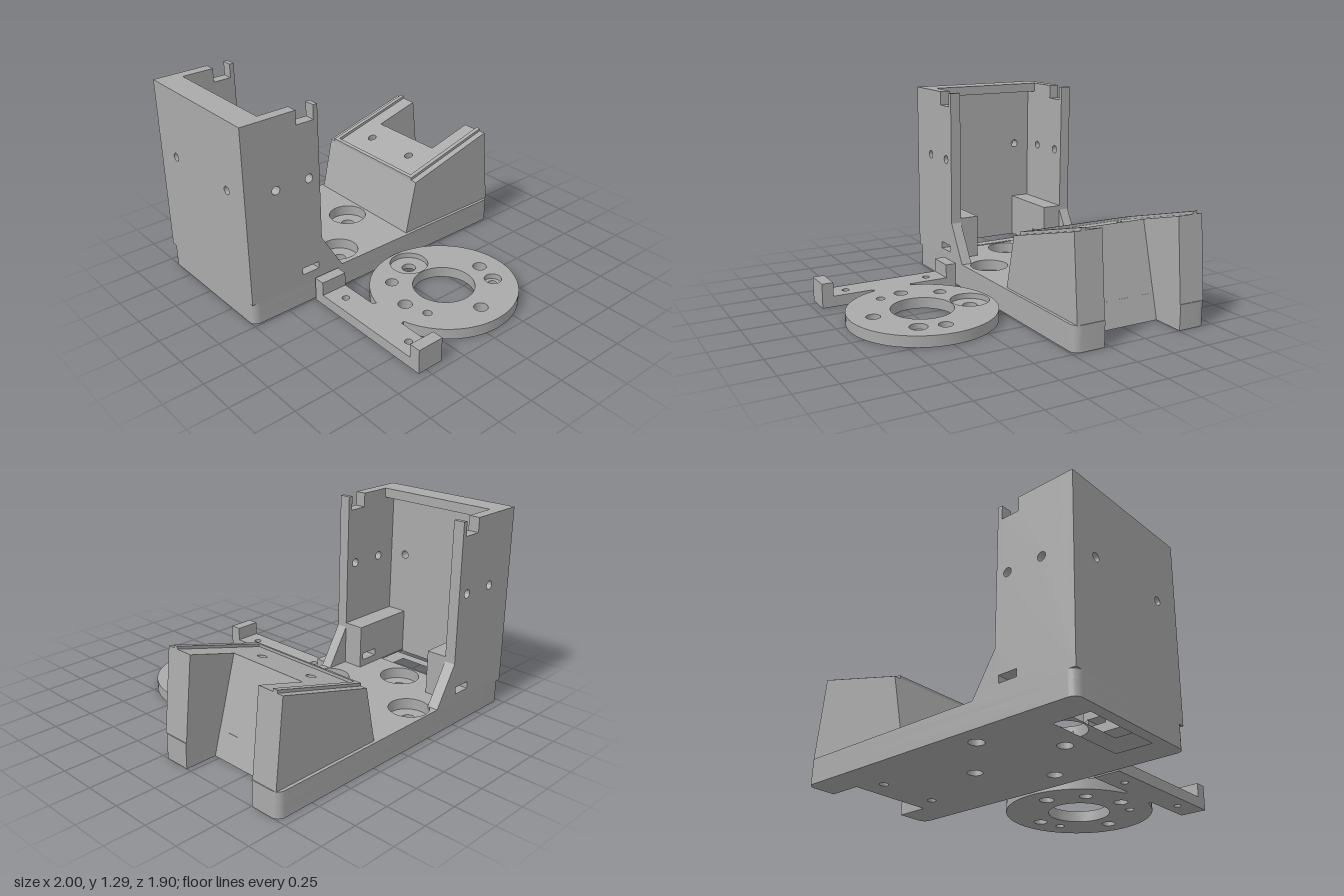
import * as THREE from 'three';
import { toCreasedNormals } from 'three/addons/utils/BufferGeometryUtils.js';

const BACK = -0.95, FRONT = -0.01, MID = -0.48; // depth range of the bracket

// Closed polygon or circle as a path
function outline(points, Type = THREE.Shape) {
  return new Type(points.map(([x, y]) => new THREE.Vector2(x, y)));
}
function circle(x, y, r) {
  const path = new THREE.Path();
  path.absarc(x, y, r, 0, Math.PI * 2, false);
  return path;
}
function rect(x0, x1, y0, y1) {
  return [[x0, y0], [x1, y0], [x1, y1], [x0, y1]];
}
// Points of a quarter-circle corner
function corner(cx, cy, r, start) {
  return [0, 1, 2, 3, 4, 5, 6].map((i) => {
    const a = start + (i / 6) * Math.PI / 2;
    return [cx + r * Math.cos(a), cy + r * Math.sin(a)];
  });
}
function extrude(shape, holes, depth) {
  shape.holes.push(...holes);
  return new THREE.ExtrudeGeometry(shape, { depth, bevelEnabled: false, curveSegments: 32 });
}
// Plate drawn in plan as [x, z], holes as [x, z, radius], from y0 up to y1
function plate(points, holes, y0, y1, cutouts = []) {
  const flip = (list) => list.map(([x, z]) => [x, -z]);
  const paths = holes.map(([x, z, r]) => circle(x, -z, r));
  cutouts.forEach((c) => paths.push(outline(flip(c), THREE.Path)));
  return extrude(outline(flip(points)), paths, y1 - y0).rotateX(-Math.PI / 2).translate(0, y0, 0);
}
// Move every vertex by a rule (x, y, z) => [x, y]
function reshape(geometry, rule) {
  const p = geometry.attributes.position;
  for (let i = 0; i < p.count; i++) {
    const [x, y] = rule(p.getX(i), p.getY(i), p.getZ(i));
    p.setXY(i, x, y);
  }
  return geometry;
}

export function createModel() {
  const grey = new THREE.MeshStandardMaterial({ color: 0xaaaaaa });
  grey.name = 'grey plastic';
  const model = new THREE.Group();
  model.name = 'bracket and disc set';

  function add(name, geometry, parent) {
    const mesh = new THREE.Mesh(toCreasedNormals(geometry, 0.5), grey);
    mesh.name = name;
    parent.add(mesh);
    return mesh;
  }
  function group(name) {
    const g = new THREE.Group();
    g.name = name;
    model.add(g);
    return g;
  }

  // ---- Base: two layers, so that the screw holes have wide counterbores
  const base = group('base');
  const R = 0.05, PI = Math.PI, N0 = -0.755, N1 = -0.215;
  const basePlan = [
    ...corner(-1 + R, BACK + R, R, PI),
    ...corner(1 - R, BACK + R, R, PI * 1.5),
    [1, N0], [0.79, N0], [0.79, N1], [1, N1],
    ...corner(1 - R, FRONT - R, R, 0),
    ...corner(-1 + R, FRONT - R, R, PI / 2),
  ];
  const screws = [[-0.235, -0.81], [-0.56, -0.48], [0.09, -0.48], [-0.235, -0.165]];
  const tiltedHoles = [[0.634, -0.68, 0.028], [0.634, -0.295, 0.028]];
  const slot = rect(-0.93, -0.70, -0.75, -0.22);
  const leanNotch = (x, y) => [x > 0.55 && x < 0.8 ? x - 0.268 * y : x, y];
  [['baseLower', 0.045, 0, 0.09], ['baseUpper', 0.124, 0.09, 0.16]].forEach(([name, r, y0, y1]) => {
    const holes = [...screws.map(([x, z]) => [x, z, r]), ...tiltedHoles];
    add(name, reshape(plate(basePlan, holes, y0, y1, [slot]), leanNotch), base);
  });

  // ---- Tower: two side walls, back wall, top lip and inner blocks
  const tower = group('tower');
  const wallProfile = [
    [-1, 0.145], [-0.33, 0.145], [-0.33, 0.16], [-0.48, 0.41], [-0.48, 1.29], [-0.51, 1.29],
    [-0.51, 1.2], [-0.63, 1.2], [-0.63, 1.29], [-1, 1.29],
  ];
  const cableSlot = () => outline(rect(-0.63, -0.51, 0.205, 0.25), THREE.Path);
  [[BACK, -0.88, 'rear'], [FRONT - 0.07, -0.21, 'front']].forEach(([z, blockZ, side]) => {
    const holes = [circle(-0.79, 0.84, 0.027), circle(-0.557, 0.84, 0.027), cableSlot()];
    add(side + 'TowerWall', extrude(outline(wallProfile), holes, 0.07).translate(0, 0, z), tower);
    const block = extrude(outline(rect(-0.93, -0.48, 0.15, 0.44)), [cableSlot()], 0.13);
    add(side + 'TowerBlock', block.translate(0, 0, blockZ), tower);
  });
  const backWall = extrude(outline(rect(BACK, FRONT, 0.145, 1.29)),
    [circle(-0.195, 0.84, 0.026), circle(-0.765, 0.84, 0.026)], 0.07);
  add('towerBackWall', backWall.rotateY(-PI / 2).translate(-0.93, 0, 0), tower);
  add('towerLip', new THREE.BoxGeometry(0.09, 0.06, 0.8).translate(-0.885, 1.26, MID), tower);

  // ---- Sloped seat: U-shaped plan whose top follows a ramp and whose sides lean
  const seat = group('slopedSeat');
  const ramp = (x) => 0.51 + 0.268 * (x - 0.31);
  const seatPlan = [
    [0.31, -0.93], [0.945, -0.93], [0.945, N0], [0.63, N0],
    [0.63, N1], [0.945, N1], [0.945, -0.03], [0.31, -0.03],
  ];
  const seatRule = (x, y) => {
    if (y > 0.5) return [x, ramp(x)];
    if (x < 0.32) return [0.23, 0.158];
    if (x > 0.9) return [0.995, 0.158];
    return [x > 0.6 ? 0.747 : x + 0.106, 0.158];
  };
  const seatHoles = [[0.485, -0.68, 0.028], [0.485, -0.295, 0.028]];
  add('seatBody', reshape(plate(seatPlan, seatHoles, 0, 1), seatRule), seat);

  // Thin raised rim on three sides of the ramp
  const rimPlan = [
    [0.31, -0.89], [0.945, -0.89], [0.945, -0.86], [0.332, -0.86],
    [0.332, -0.105], [0.945, -0.105], [0.945, -0.075], [0.31, -0.075],
  ];
  add('seatRim', reshape(plate(rimPlan, [], 0, 0.018), (x, y) => [x, ramp(x) + y]), seat);

  // ---- Separate disc with a neck that joins a crossbar
  const disc = group('mountingDisc');
  const cx = 0.09, cz = 0.48, r = 0.465;
  const a0 = PI - 0.27, a1 = -PI + 0.27;
  const discPlan = [];
  for (let i = 0; i <= 72; i++) {
    const a = a0 + (a1 - a0) * i / 72;
    discPlan.push([cx + r * Math.cos(a), cz + r * Math.sin(a)]);
  }
  discPlan.push([-0.38, 0.35], [-0.38, 0.01], [-0.555, 0.01], [-0.555, 0.95], [-0.38, 0.95], [-0.38, 0.61]);
  const plainHoles = [
    [cx, cz, 0.195], [-0.14, 0.25, 0.04], [-0.235, 0.48, 0.044], [0.41, 0.48, 0.044],
    [0.09, 0.80, 0.044], [-0.195, 0.635, 0.028], [-0.465, 0.195, 0.023], [-0.465, 0.765, 0.023],
  ];
  add('discLower', plate(discPlan, [...plainHoles, [0.09, 0.155, 0.045], [0.37, 0.635, 0.03]], 0, 0.035), disc);
  add('discUpper', plate(discPlan, [...plainHoles, [0.09, 0.155, 0.123], [0.37, 0.635, 0.055]], 0.035, 0.07), disc);
  // Upright stops at both ends of the crossbar
  [0.047, 0.913].forEach((z) => {
    add('crossbarStop', new THREE.BoxGeometry(0.175, 0.095, 0.074).translate(-0.4675, 0.1125, z), disc);
  });

  return model;
}
